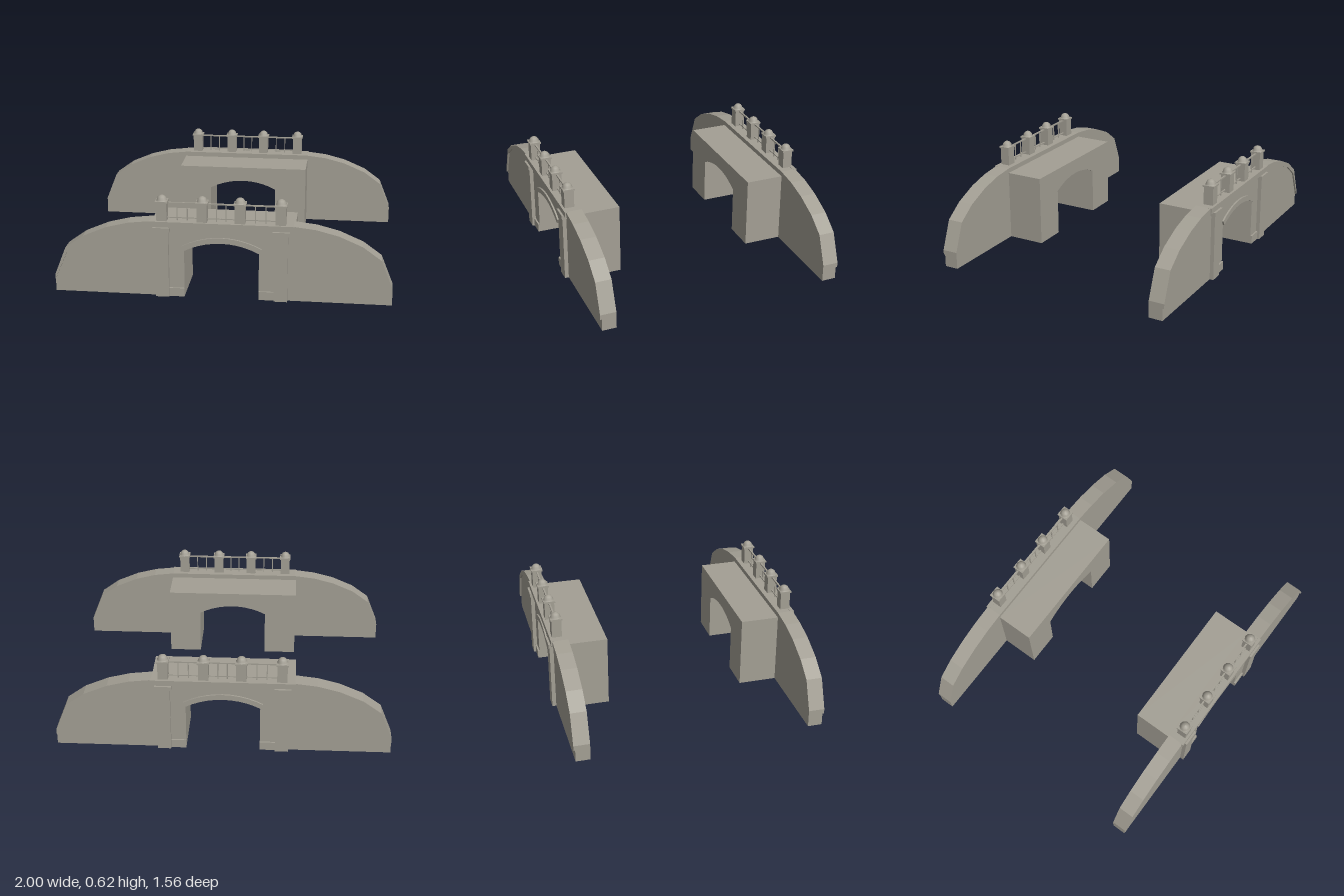
import * as THREE from 'three';

const stone = new THREE.MeshStandardMaterial({ color: 0xa39f94, side: THREE.DoubleSide });
stone.name = 'stone';

// Prism from a counter-clockwise outline, left open along the ground
function shell(name, pts, z0, z1) {
  const pos = [];
  const cap = new THREE.ShapeGeometry(new THREE.Shape(pts.map(p => new THREE.Vector2(...p)))).toNonIndexed();
  const a = cap.attributes.position;
  for (let i = 0; i < a.count; i++) pos.push(a.getX(i), a.getY(i), z1);
  for (let i = a.count - 1; i >= 0; i--) pos.push(a.getX(i), a.getY(i), z0);
  pts.forEach(([ax, ay], i) => {
    const [bx, by] = pts[(i + 1) % pts.length];
    if (ay === 0 && by === 0) return;
    pos.push(ax, ay, z1, ax, ay, z0, bx, by, z0, ax, ay, z1, bx, by, z0, bx, by, z1);
  });
  const g = new THREE.BufferGeometry();
  g.setAttribute('position', new THREE.Float32BufferAttribute(pos, 3));
  g.computeVertexNormals();
  const m = new THREE.Mesh(g, stone);
  m.name = name;
  return m;
}

// Box given by its limits on each axis
function box(name, x0, x1, y0, y1, z0, z1) {
  const m = new THREE.Mesh(new THREE.BoxGeometry(x1 - x0, y1 - y0, z1 - z0), stone);
  m.position.set((x0 + x1) / 2, (y0 + y1) / 2, (z0 + z1) / 2);
  m.name = name;
  return m;
}

// Segmental arc from -w to +w, springing at y and rising by h
function arc(w, y, h, n = 10) {
  const r = (w * w + h * h) / (2 * h), t = Math.asin(w / r);
  return Array.from({ length: n + 1 }, (_, i) => {
    const k = -t + 2 * t * i / n;
    return [r * Math.sin(k), y + h - r + r * Math.cos(k)];
  });
}

const mirrored = half => [...half, ...half.map(([x, y]) => [-x, y]).reverse()];

function post(x) {
  const g = new THREE.Group();
  g.name = 'post';
  g.add(box('postShaft', -0.03, 0.03, 0.465, 0.58, -0.03, 0.03));
  g.add(box('postCap', -0.036, 0.036, 0.578, 0.588, -0.036, 0.036));
  const profile = [[0.034, 0.588], [0.029, 0.594], [0.027, 0.604], [0.02, 0.613], [0.01, 0.619], [0, 0.621]];
  const dome = new THREE.Mesh(new THREE.LatheGeometry(profile.map(p => new THREE.Vector2(...p)), 10), stone);
  dome.name = 'postDome';
  g.add(dome);
  g.position.set(x, 0, 0.72);
  return g;
}

function portal() {
  const g = new THREE.Group();
  g.name = 'portal';
  const arch = arc(0.22, 0.29, 0.055);
  const outer = [[1, 0.105], [0.93, 0.28], [0.82, 0.36], [0.68, 0.42], [0.55, 0.453], [0.42, 0.468]];
  const inner = [[1, 0.075], [0.92, 0.255], [0.81, 0.335], [0.67, 0.39], [0.545, 0.422], [0.42, 0.435]];

  // Curved wall, its coping and the passage block behind
  g.add(shell('wall', [[0.22, 0], [1, 0], ...mirrored(outer), [-1, 0], [-0.22, 0], ...arch], 0.66, 0.747));
  g.add(shell('coping', [...mirrored(outer), ...mirrored(inner).reverse()], 0.74, 0.757));
  g.add(shell('passage', [[0.22, 0], [0.425, 0], [0.425, 0.438], [-0.425, 0.438], [-0.425, 0], [-0.22, 0], ...arch], 0.425, 0.66));

  // Arch moulding and centre frieze
  g.add(shell('archMoulding', [...arc(0.235, 0.318, 0.06).reverse(), ...arch], 0.74, 0.757));
  g.add(box('frieze', -0.425, 0.425, 0.435, 0.469, 0.74, 0.765));

  // Pilasters and jamb plinths
  for (const s of [-1, 1]) {
    const span = (name, a, b, ...rest) => g.add(box(name, Math.min(s * a, s * b), Math.max(s * a, s * b), ...rest));
    span('pilaster', 0.31, 0.39, 0, 0.41, 0.74, 0.771);
    span('pilasterCapital', 0.3, 0.4, 0.41, 0.435, 0.74, 0.778);
    span('jambPlinth', 0.22, 0.31, 0, 0.052, 0.74, 0.757);
  }

  // Parapet posts and railing
  const xs = [-0.35, -0.114, 0.108, 0.345];
  xs.forEach(x => g.add(post(x)));
  for (let i = 0; i < 3; i++) {
    const a = xs[i] + 0.03, b = xs[i + 1] - 0.03;
    g.add(box('topRail', a, b, 0.57, 0.578, 0.715, 0.725));
    g.add(box('bottomRail', a, b, 0.482, 0.488, 0.716, 0.724));
    for (const t of [0.33, 0.67]) {
      const x = a + (b - a) * t;
      g.add(box('baluster', x - 0.003, x + 0.003, 0.468, 0.572, 0.717, 0.723));
    }
  }
  return g;
}

export function createModel() {
  const model = new THREE.Group();
  model.name = 'tunnelPortals';
  const front = portal(), back = portal();
  front.name = 'frontPortal';
  back.name = 'backPortal';
  back.rotation.y = Math.PI;
  model.add(front, back);
  return model;
}
